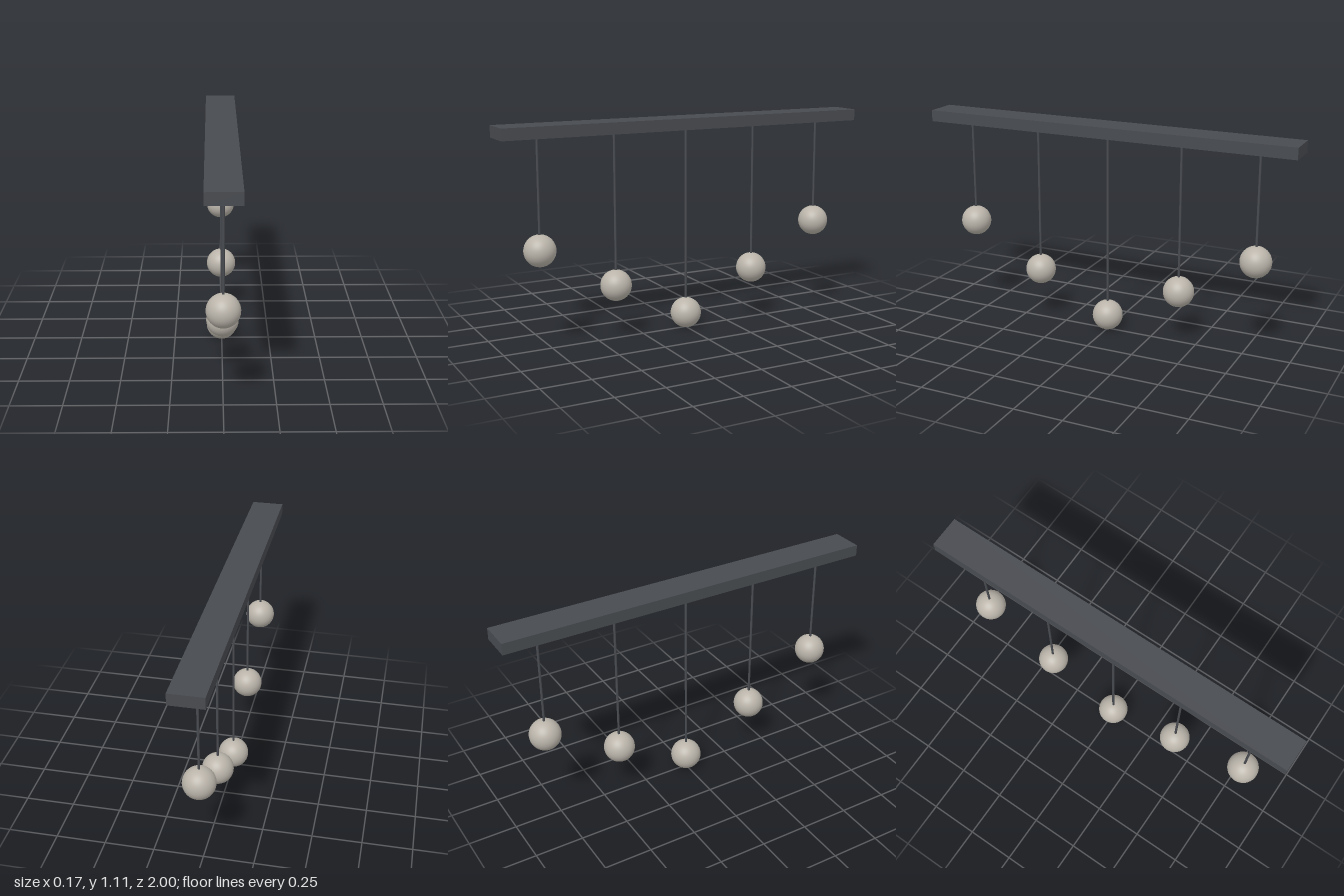
import * as THREE from 'three';

export function createModel() {
  const model = new THREE.Group();
  model.name = 'pendantLight';
  const darkMetal = new THREE.MeshStandardMaterial({ color: 0x484b50 });
  darkMetal.name = 'dark metal';
  const globeGrey = new THREE.MeshStandardMaterial({ color: 0xbab4aa });
  globeGrey.name = 'warm grey globe';

  const add = (name, geometry, material, y, z) => {
    const mesh = new THREE.Mesh(geometry, material);
    mesh.name = name;
    mesh.position.set(0, y, z);
    model.add(mesh);
  };

  // Ceiling bar
  const barBottom = 1.053, barHeight = 0.059, radius = 0.08;
  add('ceilingBar', new THREE.BoxGeometry(0.168, barHeight, 2), darkMetal, barBottom + barHeight / 2, 0);

  // Five globes on rods, lowest in the middle
  const globe = new THREE.SphereGeometry(radius, 40, 28);
  const heights = [0.501, 0.278, 0.08, 0.278, 0.501];
  heights.forEach((y, i) => {
    const z = (2 - i) * 0.4;
    const rodBottom = y + radius - 0.005;
    const length = barBottom + 0.005 - rodBottom;
    add('rod' + (i + 1), new THREE.CylinderGeometry(0.006, 0.006, length, 16), darkMetal, rodBottom + length / 2, z);
    add('globe' + (i + 1), globe, globeGrey, y, z);
  });
  return model;
}
